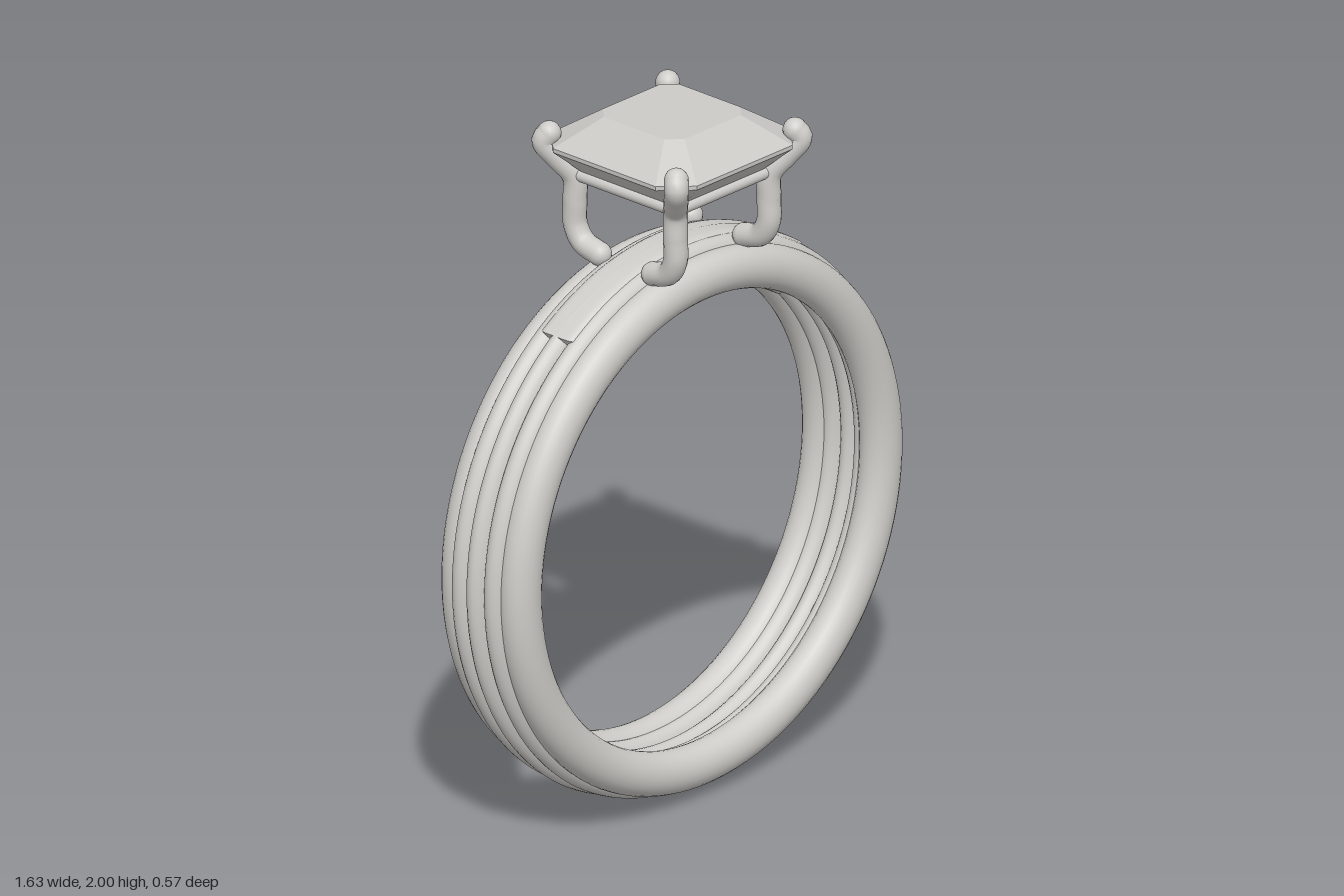
import * as THREE from 'three';
import { toCreasedNormals } from 'three/addons/utils/BufferGeometryUtils.js';

const RING_Y = 0.814;

export function createModel() {
  const model = new THREE.Group();
  const metal = new THREE.MeshStandardMaterial({ color: 0xcfcdc9 });
  metal.name = 'pale metal';
  const stone = new THREE.MeshStandardMaterial({ color: 0xcccac7 });
  stone.name = 'pale stone';

  const add = (name, geometry, material, parent = model) => {
    const mesh = new THREE.Mesh(geometry, material);
    mesh.name = name;
    parent.add(mesh);
    return mesh;
  };

  // Band: five fused hoops of oval section, [z, z half width, mean radius]
  const band = new THREE.Group();
  band.name = 'band';
  band.position.y = RING_Y;
  model.add(band);
  const tube = 0.063;
  const hoops = [
    [-0.107, 0.056, 0.724], [-0.06, 0.04, 0.743], [0, 0.037, 0.751],
    [0.06, 0.04, 0.743], [0.107, 0.056, 0.724],
  ];
  for (const [z, half, radius] of hoops) {
    const geometry = new THREE.TorusGeometry(radius, tube, 24, 128);
    geometry.scale(1, 1, half / tube);
    add('bandHoop', geometry, metal, band).position.z = z;
  }

  // Smooth bridge filling the middle grooves under the setting
  const bevel = 0.02, spread = 0.59;
  const arc = new THREE.Shape();
  arc.absarc(0, 0, 0.813 - bevel, Math.PI / 2 - spread, Math.PI / 2 + spread, false);
  arc.absarc(0, 0, 0.655 + bevel, Math.PI / 2 + spread, Math.PI / 2 - spread, true);
  arc.closePath();
  const bridge = new THREE.ExtrudeGeometry(arc, {
    depth: 0.07, curveSegments: 40, bevelSize: bevel, bevelThickness: 0.03, bevelSegments: 5,
  });
  bridge.translate(0, 0, -0.035);
  add('bridge', toCreasedNormals(bridge, 0.6), metal, band);

  // Four claws rising from the band, with rounded ends
  const path = new THREE.CatmullRomCurve3([
    [0.183, 1.605, 0.10], [0.185, 1.625, 0.16], [0.187, 1.67, 0.187], [0.188, 1.74, 0.188],
    [0.19, 1.815, 0.19], [0.222, 1.87, 0.222], [0.249, 1.92, 0.249], [0.238, 1.943, 0.238],
  ].map((p) => new THREE.Vector3(...p)), false, 'centripetal');
  const thick = 0.034;
  for (const sx of [1, -1]) {
    for (const sz of [1, -1]) {
      const claw = new THREE.Group();
      claw.name = 'claw';
      claw.scale.set(sx, 1, sz);
      model.add(claw);
      add('clawWire', new THREE.TubeGeometry(path, 48, thick, 16), metal, claw);
      for (const t of [0, 1]) {
        add('clawEnd', new THREE.SphereGeometry(thick, 16, 12), metal, claw)
          .position.copy(path.getPoint(t));
      }
    }
  }

  // Square wire rail joining the claws under the stone
  for (let i = 0; i < 4; i++) {
    const rail = new THREE.CylinderGeometry(0.018, 0.018, 0.39, 14);
    rail.rotateZ(Math.PI / 2);
    rail.translate(0, 1.823, 0.192);
    rail.rotateY(i * Math.PI / 2);
    add('rail', rail, metal);
  }

  add('stone', stoneGeometry(), stone);
  return model;
}

// Square step-cut stone: cut-corner squares joined by flat facets
function stoneGeometry() {
  // [y, half width, corner cut], from the table down to the point
  const levels = [
    [2.0, 0, 0], [2.0, 0.153, 0.04], [1.92, 0.272, 0.08],
    [1.908, 0.272, 0.08], [1.84, 0.2, 0.045], [1.685, 0, 0],
  ];
  const rings = levels.map(([y, h, c]) => [
    [h, h - c], [h - c, h], [c - h, h], [-h, h - c],
    [-h, c - h], [c - h, -h], [h - c, -h], [h, c - h],
  ].map(([x, z]) => [x, y, z]));
  const points = [];
  for (let r = 0; r < rings.length - 1; r++) {
    for (let i = 0; i < 8; i++) {
      const j = (i + 1) % 8;
      const [a, b] = [rings[r][i], rings[r][j]];
      const [c, d] = [rings[r + 1][i], rings[r + 1][j]];
      if (r > 0) points.push(...a, ...b, ...d);
      if (r < rings.length - 2) points.push(...a, ...d, ...c);
      else points.push(...[]);
    }
  }
  const geometry = new THREE.BufferGeometry();
  geometry.setAttribute('position', new THREE.Float32BufferAttribute(points, 3));
  geometry.computeVertexNormals();
  return geometry;
}
